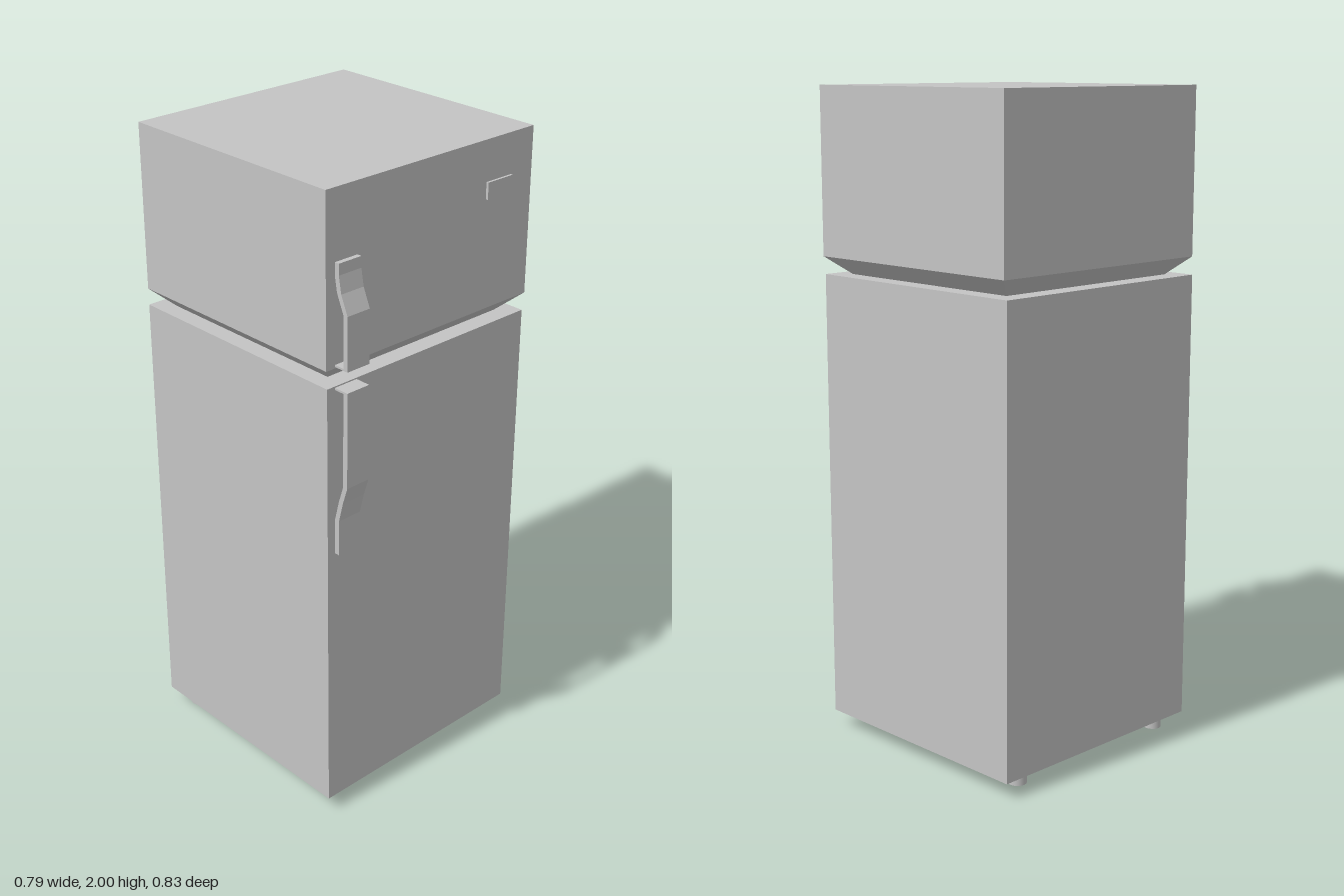
import * as THREE from 'three';

export function createModel() {
  const root = new THREE.Group();
  root.name = 'refrigerator';
  const enamel = new THREE.MeshStandardMaterial({ color: 0xc4c4c4 });
  enamel.name = 'grey enamel';

  function add(name, geometry) {
    const mesh = new THREE.Mesh(geometry, enamel);
    mesh.name = name;
    root.add(mesh);
    return mesh;
  }

  // Box given by its limits on each axis
  function block(x0, x1, y0, y1, z0, z1) {
    return new THREE.BoxGeometry(x1 - x0, y1 - y0, z1 - z0)
      .translate((x0 + x1) / 2, (y0 + y1) / 2, (z0 + z1) / 2);
  }

  add('lowerCabinet', block(-0.392, 0.385, 0.05, 1.442, -0.413, 0.365));
  add('freezerCabinet', block(-0.396, 0.391, 1.496, 2, -0.408, 0.366));

  // Neck: lower edge drawn in towards the middle
  const neck = block(-0.396, 0.391, 1.442, 1.496, -0.408, 0.366);
  const p = neck.attributes.position;
  for (let i = 0; i < p.count; i++) {
    if (p.getY(i) < 1.47) {
      p.setX(i, p.getX(i) < 0 ? -0.338 : 0.326);
      p.setZ(i, p.getZ(i) < 0 ? -0.35 : 0.308);
    }
  }
  neck.computeVertexNormals();
  add('taperedNeck', neck);

  // Handle: bent strip with a thin return to the door at its free end.
  // Points are [z, y] along the outer face, from the fixed end to the free end.
  function handle(name, outer) {
    const thickness = 0.016;
    const [freeZ, freeY] = outer[outer.length - 1];
    const cap = freeY + 0.006 * Math.sign(outer[0][1] - freeY);
    const inner = outer.slice(0, -1).reverse().map(([z, y]) => [z - thickness, y]);
    const outline = [...outer, [0.365, freeY], [0.365, cap], [freeZ - thickness, cap], ...inner];
    const shape = new THREE.Shape(outline.map(([z, y]) => new THREE.Vector2(z, y)));
    const geometry = new THREE.ExtrudeGeometry(shape, { depth: 0.08, bevelEnabled: false });
    add(name, geometry.rotateY(-Math.PI / 2).translate(-0.284, 0, 0));
  }
  handle('freezerHandle', [[0.381, 1.798], [0.381, 1.765], [0.39, 1.715], [0.414, 1.66], [0.414, 1.5]]);
  handle('lowerHandle', [[0.381, 0.919], [0.381, 1.03], [0.397, 1.094], [0.414, 1.147], [0.414, 1.438]]);

  // Raised blank badge
  add('badge', block(0.205, 0.304, 1.828, 1.878, 0.365, 0.374));

  // Feet
  const feet = [[-0.306, 0.275], [0.275, 0.275], [-0.328, -0.345], [0.275, -0.345]];
  for (const [x, z] of feet) {
    add('foot', new THREE.CylinderGeometry(0.028, 0.028, 0.05, 16)).position.set(x, 0.025, z);
  }
  return root;
}
